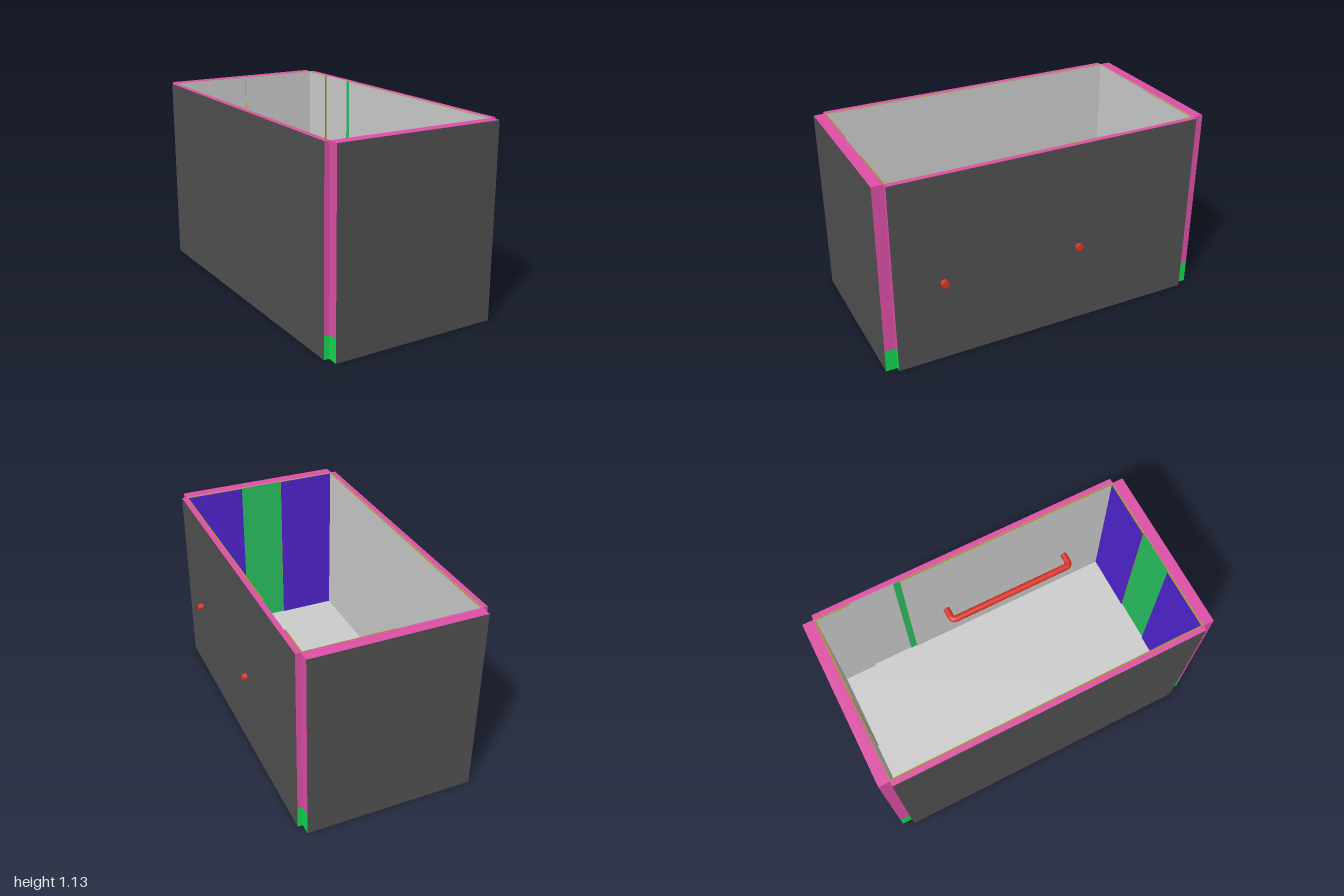
import * as THREE from 'three';

const paint = (color) => new THREE.MeshStandardMaterial({ color });
const grey = paint(0xcccccc), dark = paint(0x505050), pink = paint(0xdd4fa6);
const green = paint(0x10d850), gold = paint(0xa88a30), blue = paint(0x4f24d0);
const mint = paint(0x28c060), red = paint(0xd83528);

// Box given by its limits; faces in the order +x, -x, +y, -y, +z, -z
function slab(name, [x0, x1], [y0, y1], [z0, z1], faces) {
  const mesh = new THREE.Mesh(new THREE.BoxGeometry(x1 - x0, y1 - y0, z1 - z0), faces);
  mesh.name = name;
  mesh.position.set((x0 + x1) / 2, (y0 + y1) / 2, (z0 + z1) / 2);
  return mesh;
}

export function createModel() {
  const model = new THREE.Group();
  const FLOOR = 0.135, TOP = 1.135, LINER = 0.01;
  const XL = -0.515, XR = 0.485, ZI = 0.935, SIDE = 0.03;

  // Floor slab, running under the two long walls
  model.add(slab('floor', [XL - SIDE, XR + SIDE], [0, FLOOR], [-ZI, ZI],
    [dark, dark, grey, dark, green, green]));

  // Long walls
  model.add(slab('rightSideWall', [XR, XR + SIDE], [FLOOR, TOP], [-ZI, ZI],
    [dark, grey, pink, dark, pink, pink]));
  model.add(slab('leftSideWall', [XL - SIDE, XL], [FLOOR, TOP], [-ZI, ZI],
    [grey, dark, pink, dark, pink, pink]));

  // End walls, each with a skirt beside the floor slab
  for (const s of [1, -1]) {
    const z = s > 0 ? [ZI, 1] : [-1, -ZI];
    const label = s > 0 ? 'front' : 'back';
    model.add(slab(label + 'Wall', [XL, XR], [FLOOR, TOP], z,
      [pink, pink, pink, dark, s > 0 ? dark : grey, s > 0 ? grey : dark]));
    model.add(slab(label + 'Skirt', [XL, XR], [0, FLOOR], z,
      [green, green, dark, dark, dark, dark]));
  }

  // Thin inner lining: coloured on the broad faces, gold on the edges
  const y = [FLOOR, TOP - 0.003];
  const sideLiner = (name, x, z, face = grey) =>
    model.add(slab(name, x, y, z, [face, face, gold, gold, gold, gold]));
  const endLiner = (name, x, z, face = grey) =>
    model.add(slab(name, x, y, z, [gold, gold, gold, gold, face, face]));
  sideLiner('leftLining', [XL, XL + LINER], [-ZI, ZI]);
  sideLiner('rightLiningFront', [XR - LINER, XR], [-0.42, ZI]);
  sideLiner('rightLiningBack', [XR - LINER, XR], [-ZI, -0.72]);
  sideLiner('rightOpeningTrim', [XR - 0.004, XR], [-0.46, -0.42], mint);
  endLiner('backLiningRight', [-0.025, XR], [-ZI, -ZI + LINER]);
  endLiner('backLiningLeft', [XL, -0.025], [-ZI, -ZI + LINER / 2]);
  endLiner('frontLiningRight', [0.12, XR], [ZI - LINER, ZI], blue);
  endLiner('frontLiningMiddle', [-0.15, 0.12], [ZI - 0.004, ZI], mint);
  endLiner('frontLiningLeft', [XL, -0.15], [ZI - LINER, ZI], blue);

  // Round bar bent at both ends and passing through the side wall
  const [bx, z0, z1, bend, by] = [0.39, -0.18, 0.65, 0.03, 0.495];
  const at = (x, z) => new THREE.Vector3(x, by, z);
  const path = new THREE.CurvePath();
  path.add(new THREE.LineCurve3(at(0.54, z0), at(bx + bend, z0)));
  path.add(new THREE.QuadraticBezierCurve3(at(bx + bend, z0), at(bx, z0), at(bx, z0 + bend)));
  path.add(new THREE.LineCurve3(at(bx, z0 + bend), at(bx, z1 - bend)));
  path.add(new THREE.QuadraticBezierCurve3(at(bx, z1 - bend), at(bx, z1), at(bx + bend, z1)));
  path.add(new THREE.LineCurve3(at(bx + bend, z1), at(0.545, z1)));
  const bar = new THREE.Group();
  bar.name = 'grabBar';
  const tube = new THREE.Mesh(new THREE.TubeGeometry(path, 160, 0.021, 16), red);
  tube.name = 'barTube';
  bar.add(tube);
  for (const [x, z] of [[0.54, z0], [0.545, z1]]) {
    const cap = new THREE.Mesh(new THREE.CircleGeometry(0.021, 16), red);
    cap.name = 'barEnd';
    cap.rotation.y = Math.PI / 2;
    cap.position.set(x, by, z);
    bar.add(cap);
  }
  model.add(bar);
  return model;
}
